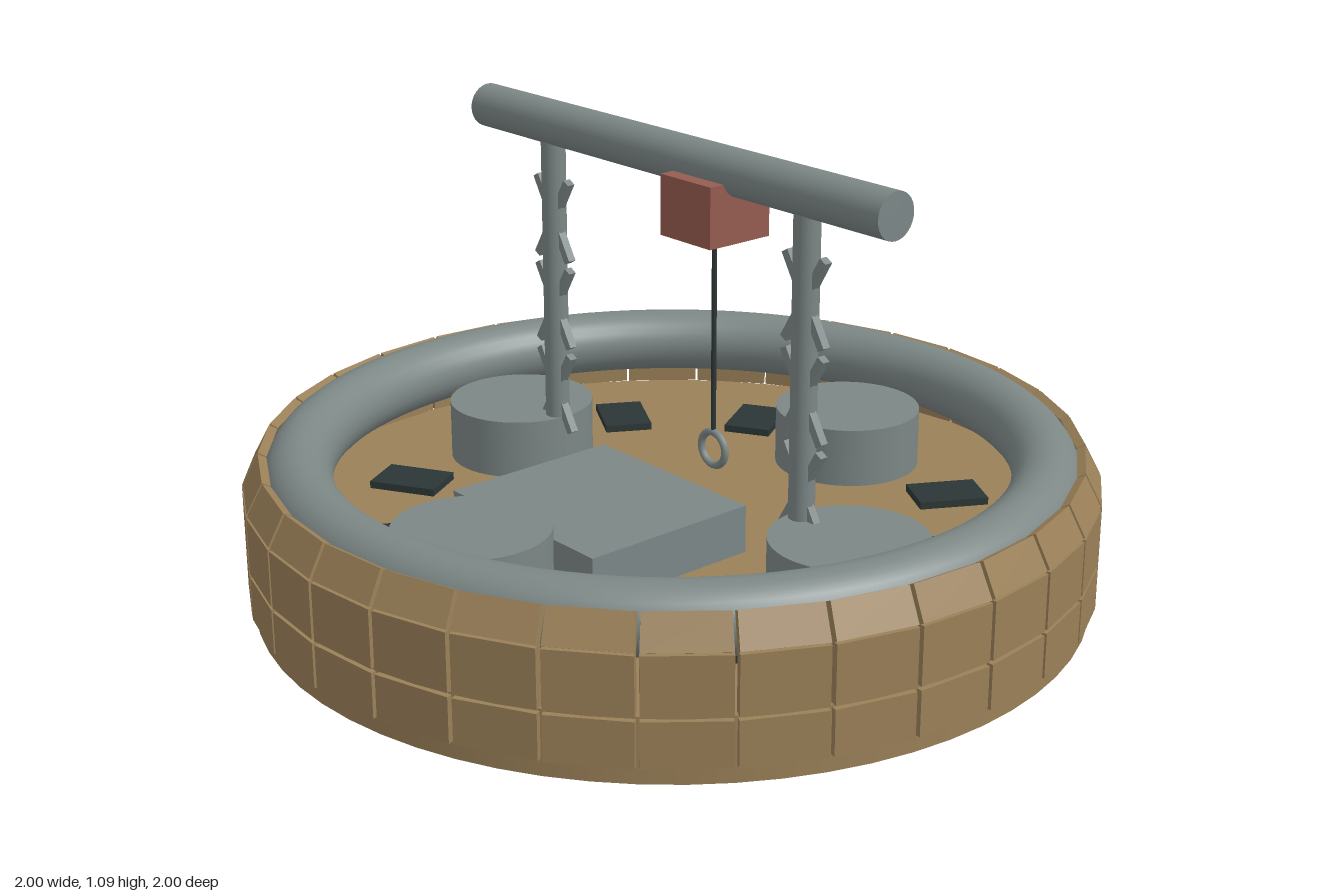
import * as THREE from 'three';

export function createModel() {
  const model = new THREE.Group();
  model.name = 'roundPlatform';

  const mat = (name, color) => {
    const m = new THREE.MeshStandardMaterial({ color });
    m.name = name;
    return m;
  };
  const tan = mat('tan', 0x9a8058);
  const grey = mat('grey', 0x7c8786);
  const red = mat('brickRed', 0x955c50);
  const dark = mat('darkSlate', 0x2c3636);

  const add = (name, geometry, material, x = 0, y = 0, z = 0, parent = model) => {
    const mesh = new THREE.Mesh(geometry, material);
    mesh.name = name;
    mesh.position.set(x, y, z);
    parent.add(mesh);
    return mesh;
  };
  const box = (w, h, d) => new THREE.BoxGeometry(w, h, d);
  const drum = (r, h, n = 32) => new THREE.CylinderGeometry(r, r, h, n);

  // Solid floor disc and padded rim
  const FLOOR = 0.15;
  add('floorDisc', drum(0.985, FLOOR, 64), tan, 0, FLOOR / 2);
  const rim = add('rim', new THREE.TorusGeometry(0.87, 0.08, 24, 96), grey, 0, 0.31);
  rim.rotation.x = Math.PI / 2;

  // Outer panels: a slab between two heights, leaning from radius r0 to r1
  const SIDES = 32, GAP = 0.01, THICK = 0.022;
  const panelGeometry = (y0, y1, r0, r1) => {
    const g = box(1, 1, 1);
    const p = g.attributes.position;
    const slope = Math.atan2(r0 - r1, y1 - y0);
    for (let i = 0; i < p.count; i++) {
      const top = p.getY(i) > 0, inner = p.getZ(i) < 0;
      const r = top ? r1 : r0;
      const width = 2 * r * Math.tan(Math.PI / SIDES) - GAP;
      p.setXYZ(i, Math.sign(p.getX(i)) * width / 2,
        (top ? y1 : y0) - (inner ? THICK * Math.sin(slope) : 0),
        r - (inner ? THICK * Math.cos(slope) : 0));
    }
    g.computeVertexNormals();
    return g;
  };
  const rows = [
    ['lowerPanel', 0.04, 0.145, 0.995, 0.995],
    ['middlePanel', 0.154, 0.288, 0.995, 0.995],
    ['upperPanel', 0.293, 0.365, 0.993, 0.955],
  ];
  for (const [name, ...dims] of rows) {
    const g = panelGeometry(...dims);
    for (let i = 0; i < SIDES; i++) {
      add(name, g, tan).rotation.y = (i + 0.5) * 2 * Math.PI / SIDES;
    }
  }

  // Dark floor plates every 30 degrees
  const plate = box(0.12, 0.018, 0.17);
  for (let i = 0; i < 12; i++) {
    const a = i * Math.PI / 6;
    add('floorPlate', plate, dark, 0.68 * Math.sin(a), FLOOR + 0.009, 0.68 * Math.cos(a)).rotation.y = a;
  }

  // Four round seats and the central block
  for (let i = 0; i < 4; i++) {
    const a = i * Math.PI / 2;
    add('roundSeat', drum(0.18, 0.145, 48), grey, 0.585 * Math.sin(a), FLOOR + 0.0725, 0.585 * Math.cos(a));
  }
  add('centreBlock', box(0.51, 0.115, 0.45), grey, 0, FLOOR + 0.0575, 0.225);

  // Posts with crossed braces
  for (const side of [-1, 1]) {
    const post = new THREE.Group();
    post.name = side < 0 ? 'rightPost' : 'leftPost';
    post.position.x = side * 0.435;
    model.add(post);
    add('postShaft', drum(0.03, 0.87, 24), grey, 0, FLOOR + 0.435, 0, post);
    for (const y of [0.8, 0.58, 0.36]) {
      for (const lean of [-1, 1]) {
        add('crossBrace', box(0.02, 0.23, 0.02), grey, 0, y, 0, post).rotation.z = lean * 0.53;
      }
    }
  }

  // Overhead beam with hoist box, cord and ring
  const beam = add('beam', drum(0.053, 1.38), grey, 0, 1.037);
  beam.rotation.z = Math.PI / 2;
  const HX = 0.143;
  add('hoistBox', box(0.165, 0.14, 0.176), red, HX, 0.95);
  add('cord', drum(0.006, 0.47, 10), dark, HX, 0.65);
  add('pullRing', new THREE.TorusGeometry(0.04, 0.009, 10, 32), grey, HX, 0.372);

  return model;
}
